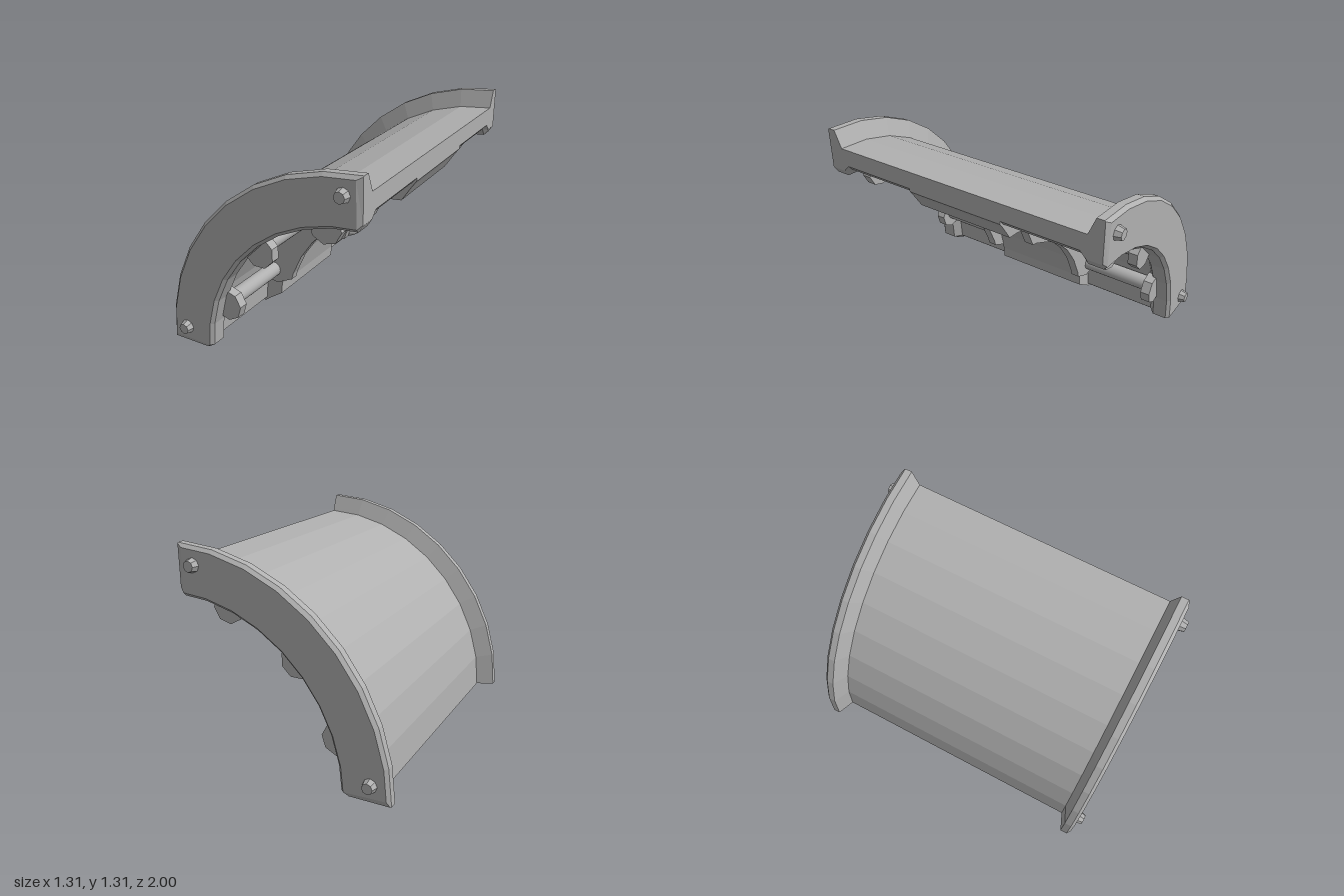
import * as THREE from 'three';

const CX = 0.655; // arc centre (x), with the arc running from -x at the floor up to +y
const STEP = 10;
const rad = THREE.MathUtils.degToRad;

// point on the arc; radius is flattened so each 10 degree step is one straight facet
function arcPoint(r, z, deg) {
  const local = deg % STEP;
  const rr = r * Math.cos(rad(STEP / 2)) / Math.cos(rad(local - STEP / 2)) ;
  return [CX - rr * Math.cos(rad(deg)), rr * Math.sin(rad(deg)), z];
}

// sweep a counterclockwise (r, z) profile, given per angle, into a closed flat-shaded solid
function sweep(angles, profileAt) {
  const pos = [];
  const loops = angles.map(a => profileAt(a).map(([r, z]) => arcPoint(r, z, a)));
  const tri = (a, b, c) => pos.push(...a, ...b, ...c);
  for (let k = 0; k < loops.length - 1; k++) {
    const A = loops[k], B = loops[k + 1], n = A.length;
    for (let i = 0; i < n; i++) {
      const j = (i + 1) % n;
      tri(A[i], A[j], B[j]);
      tri(A[i], B[j], B[i]);
    }
  }
  // end caps
  [0, angles.length - 1].forEach(k => {
    const flat = profileAt(angles[k]).map(([r, z]) => new THREE.Vector2(r, z));
    for (const [a, b, c] of THREE.ShapeUtils.triangulateShape(flat, [])) {
      const L = loops[k];
      if (k === 0) tri(L[a], L[c], L[b]);
      else tri(L[a], L[b], L[c]);
    }
  });
  const geo = new THREE.BufferGeometry();
  geo.setAttribute('position', new THREE.Float32BufferAttribute(pos, 3));
  geo.computeVertexNormals();
  return geo;
}

// half profile of the shell: [r, z, r at the cut ends, z at the cut ends]
const HALF = [
  [1.20, 0.85, 1.20, 0.85],
  [1.31, 0.895, 1.31, 0.895],
  [1.31, 0.94, 1.31, 0.94],
  [1.29, 0.96, 1.305, 0.945],
  [1.03, 0.96, 1.055, 0.945],
  [1.01, 0.94, 1.05, 0.94],
  [1.01, 0.85, 1.05, 0.85],
  [1.06, 0.81, 1.09, 0.81],
  [1.06, 0.32, 1.09, 0.32],
  [0.945, 0.32, 1.07, 0.32],
];

function shellProfile(deg) {
  const d = Math.min(deg, 90 - deg);
  const half = HALF.map(([r, z, r0, z0], i) => {
    // the raised centre band has a longer end chamfer than the rest
    const t = Math.min(1, d / (i === HALF.length - 1 ? 5.5 : 1.5));
    return [r0 + (r - r0) * t, z0 + (z - z0) * t];
  });
  return [...half, ...half.map(([r, z]) => [r, -z]).reverse()];
}

export function createModel() {
  const group = new THREE.Group();
  const grey = new THREE.MeshStandardMaterial({ color: 0xb0b0b0 });
  grey.name = 'grey';

  function add(name, geo, x = 0, y = 0, z = 0) {
    const mesh = new THREE.Mesh(geo, grey);
    mesh.name = name;
    mesh.position.set(x, y, z);
    group.add(mesh);
    return mesh;
  }

  // cylinder along z; the wide end is at -z
  function zCylinder(rTop, rBottom, length, sides, spin = 0, flat = true) {
    let geo = new THREE.CylinderGeometry(rTop, rBottom, length, sides);
    geo.rotateX(Math.PI / 2);
    geo.rotateZ(spin);
    if (flat) {
      geo = geo.toNonIndexed();
      geo.computeVertexNormals();
    }
    return geo;
  }

  // curved shell with flanges, side recesses and raised centre band
  const tens = [10, 20, 30, 40, 50, 60, 70, 80];
  add('curvedShell', sweep([0, 1.5, 5.5, ...tens, 84.5, 88.5, 90], shellProfile));

  // inner ribs either side of the centre band
  const ribAngles = [12, 17, 20, 30, 40, 50, 60, 70, 73, 78];
  for (const s of [1, -1]) {
    const z0 = s > 0 ? 0.315 : -0.37;
    add('innerRib', sweep(ribAngles, deg => {
      const rin = deg === 12 || deg === 78 ? 0.955 : 0.86;
      return [[1.07, z0], [1.07, z0 + 0.055], [rin, z0 + 0.055], [rin, z0]];
    }));

    // rods with octagonal end nuts
    for (const deg of [17, 45, 74]) {
      const x = CX - Math.cos(rad(deg)), y = Math.sin(rad(deg));
      add('rod', zCylinder(0.049, 0.049, 0.48, 20, 0, false), x, y, s * 0.59);
      add('rodNut', zCylinder(0.1, 0.1, 0.06, 8, rad(22.5 - deg), true),
        x - 0.007 * Math.cos(rad(deg)) + 0.015, y - 0.01, s * 0.84);
    }

    // tapered pegs on the outer flange faces
    for (const [x, y] of [[0.55, 1.195], [-0.535, 0.11]]) {
      const peg = add('flangePeg', zCylinder(0.033, 0.046, 0.05, 8), x, y, s * 0.975);
      if (s < 0) peg.rotation.y = Math.PI;
    }
  }
  return group;
}
